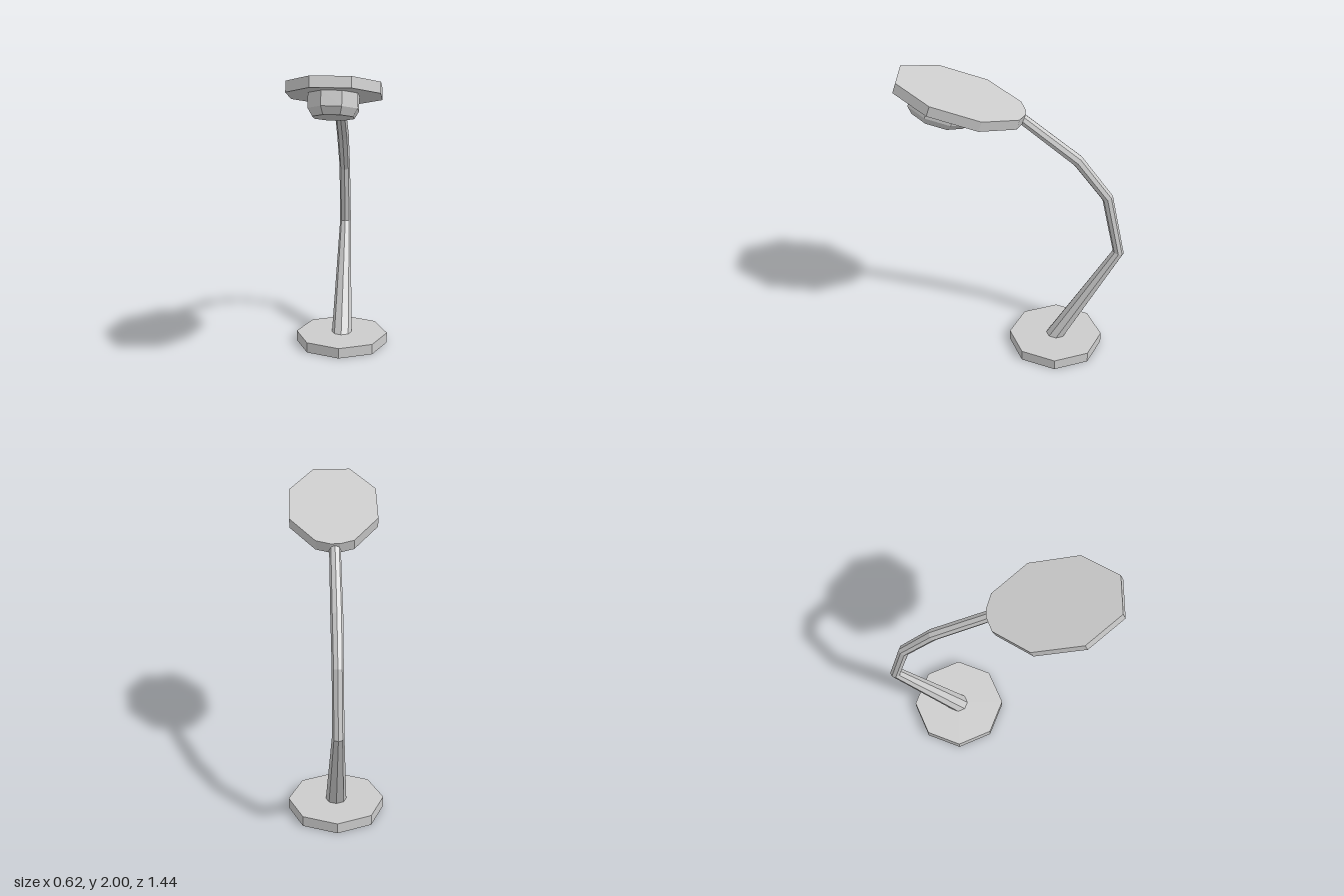
import * as THREE from 'three';

const material = new THREE.MeshStandardMaterial({ color: 0xcccccc, flatShading: true });

function part(name, geometry) {
  const mesh = new THREE.Mesh(geometry, material);
  mesh.name = name;
  return mesh;
}

// Eight-sided arm lofted through tilted rings; each ring is [y, z, radius, tilt]
function armGeometry(rings, sides = 8) {
  const positions = [], index = [];
  for (const [y, z, r, tilt] of rings) {
    for (let j = 0; j < sides; j++) {
      const t = (j / sides) * Math.PI * 2;
      const d = r * Math.cos(t);
      positions.push(r * Math.sin(t), y + d * Math.sin(tilt), z - d * Math.cos(tilt));
    }
  }
  for (let i = 0; i < rings.length - 1; i++) {
    for (let j = 0; j < sides; j++) {
      const a = i * sides + j, b = i * sides + (j + 1) % sides;
      index.push(a, a + sides, b, b, a + sides, b + sides);
    }
  }
  const geometry = new THREE.BufferGeometry();
  geometry.setAttribute('position', new THREE.Float32BufferAttribute(positions, 3));
  geometry.setIndex(index);
  geometry.computeVertexNormals();
  return geometry;
}

export function createModel() {
  const model = new THREE.Group();
  model.name = 'deskLamp';

  // Octagonal foot
  const base = part('base', new THREE.CylinderGeometry(0.31, 0.31, 0.07, 8));
  base.position.set(0, 0.035, -0.285);
  model.add(base);

  // Bent arm, tapering towards the first bend
  model.add(part('arm', armGeometry([
    [0.068, -0.29, 0.067, 0],
    [0.75, -0.683, 0.038, -0.28],
    [1.162, -0.597, 0.036, 0.46],
    [1.427, -0.402, 0.039, 0.93],
    [1.724, -0.042, 0.036, 1.15],
  ])));

  // Tilted head
  const head = new THREE.Group();
  head.name = 'head';
  head.position.set(0, 1.819, 0.348);
  head.rotation.x = -0.3;
  model.add(head);

  // Long octagonal shade, narrowing to the arm at the back
  const half = [[0.03, -0.42], [0.12, -0.387], [0.28, -0.16], [0.28, 0.16], [0.12, 0.387]];
  const mirrored = half.map(([x, z]) => [-x, z]).reverse();
  const outline = new THREE.Shape([...half, ...mirrored].map(([x, z]) => new THREE.Vector2(x, z)));
  const shade = new THREE.ExtrudeGeometry(outline, { depth: 0.068, bevelEnabled: false });
  shade.rotateX(Math.PI / 2).translate(0, 0.068, 0);
  head.add(part('shade', shade));

  // Bulb housing with a bevelled lower rim
  const profile = [[0, -0.137], [0.13, -0.137], [0.159, -0.09], [0.159, 0.01]];
  const housing = new THREE.LatheGeometry(
    profile.map(([r, y]) => new THREE.Vector2(r, y)), 8, Math.PI / 8);
  housing.scale(1, 1, 1.35);
  const bulb = part('bulbHousing', housing);
  bulb.position.z = 0.08;
  head.add(bulb);

  return model;
}
